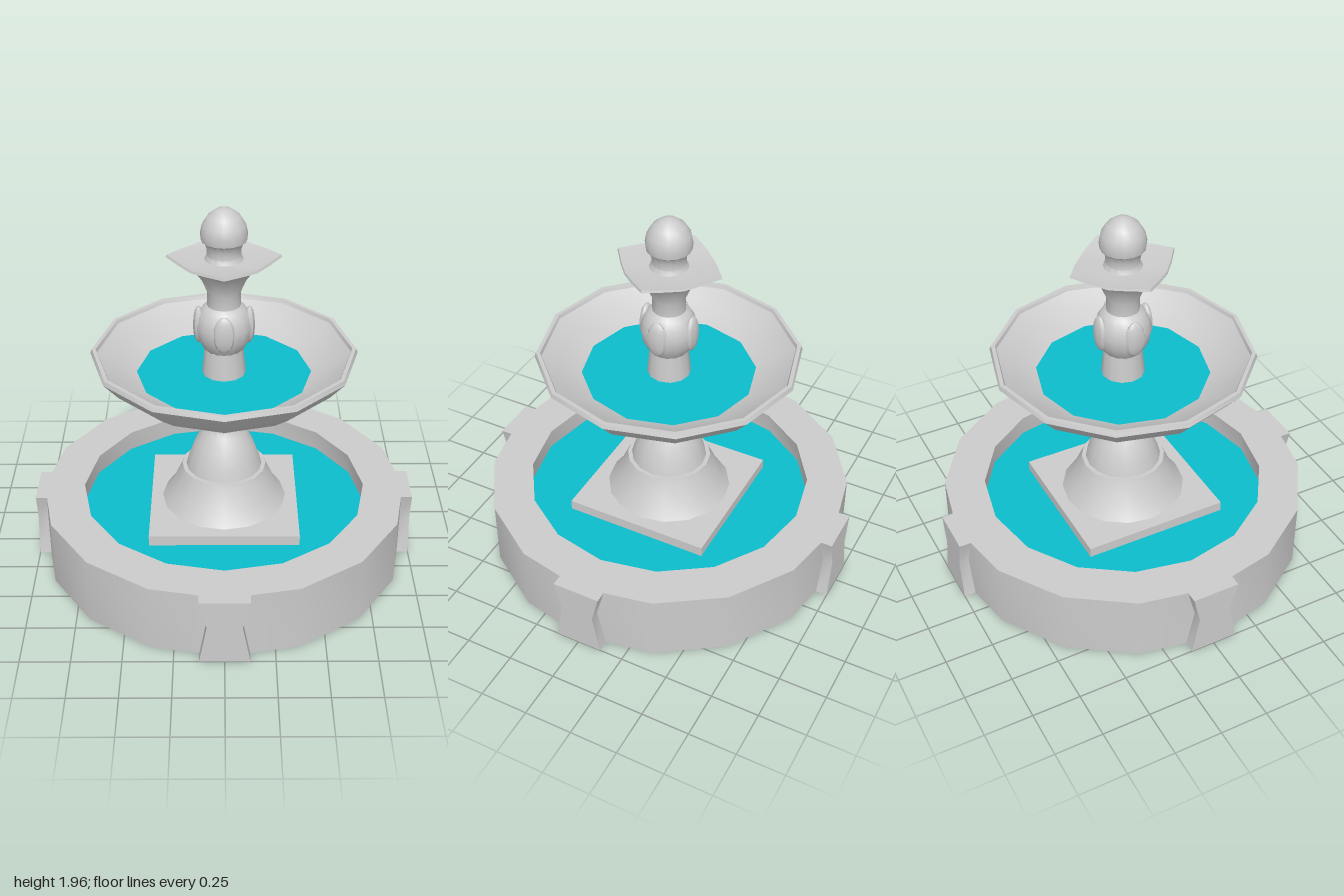
import * as THREE from 'three';
import { toCreasedNormals } from 'three/addons/utils/BufferGeometryUtils.js';

const stone = new THREE.MeshStandardMaterial({ color: 0xcccccc, side: THREE.DoubleSide });
const waterBlue = new THREE.MeshStandardMaterial({ color: 0x0cbccc, side: THREE.DoubleSide });

// Turned solid from [radius, height] pairs
function turned(profile, sides) {
  return new THREE.LatheGeometry(profile.map(([r, y]) => new THREE.Vector2(r, y)), sides);
}

export function createModel() {
  const model = new THREE.Group();
  model.name = 'fountain';

  function add(name, geometry, material = stone, parent = model) {
    const mesh = new THREE.Mesh(toCreasedNormals(geometry, 0.6), material);
    mesh.name = name;
    parent.add(mesh);
    return mesh;
  }

  function addWater(name, radius, sides, y) {
    const disc = new THREE.CircleGeometry(radius, sides).rotateX(-Math.PI / 2);
    add(name, disc, waterBlue).position.y = y;
  }

  // Pool: hollow wall, open underneath
  add('poolWall', turned([[0.965, 0], [0.965, 0.36], [0.75, 0.36], [0.76, 0.24]], 16));
  addWater('poolWater', 0.84, 16, 0.245);

  // Pool floor with a square opening under the plinth
  const half = 0.39;
  const floor = new THREE.Shape();
  for (let i = 0; i < 16; i++) {
    const a = (i / 16) * Math.PI * 2;
    if (i === 0) floor.moveTo(0.8, 0);
    else floor.lineTo(0.8 * Math.cos(a), 0.8 * Math.sin(a));
  }
  floor.closePath();
  floor.holes.push(new THREE.Path([[-1, -1], [-1, 1], [1, 1], [1, -1]]
    .map(([x, y]) => new THREE.Vector2(x * half, y * half))));
  add('poolFloor', new THREE.ShapeGeometry(floor).rotateX(Math.PI / 2)).position.y = 0.2;

  // Four waisted blocks on the pool wall
  const block = new THREE.Shape([[-0.125, 0], [0.125, 0], [0.087, 0.21], [0.125, 0.36], [-0.125, 0.36], [-0.087, 0.21]]
    .map(([x, y]) => new THREE.Vector2(x, y)));
  const blockGeometry = new THREE.ExtrudeGeometry(block, { depth: 0.06, bevelEnabled: false });
  blockGeometry.translate(0, 0, 0.94);

  // Square plinth, open underneath
  add('plinth', turned([[half * Math.SQRT2, 0.2], [half * Math.SQRT2, 0.3], [0, 0.3]], 4).rotateY(Math.PI / 4));

  // Pedestal with a ledge
  add('pedestal', turned([[0.33, 0.3], [0.283, 0.365], [0.228, 0.485], [0.222, 0.503], [0.2, 0.503],
    [0.185, 0.56], [0.155, 0.64], [0.115, 0.71], [0.095, 0.74], [0.093, 0.82]], 16));

  // Wide bowl
  add('bowl', turned([[0, 0.805], [0.1, 0.805], [0.28, 0.885], [0.49, 0.99], [0.6, 1.075], [0.68, 1.168], [0.672, 1.19],
    [0.652, 1.19], [0.645, 1.172], [0.56, 1.115], [0.445, 1.055], [0.28, 1.0], [0, 0.97]], 12));
  addWater('bowlWater', 0.447, 12, 1.06);

  // Column and ball
  add('column', turned([[0.118, 0.98], [0.11, 1.08], [0.098, 1.21]], 12));
  add('ball', turned([[0.09, 1.19], [0.112, 1.22], [0.137, 1.27], [0.145, 1.33], [0.132, 1.385],
    [0.108, 1.425], [0.085, 1.442]], 16));
  const petal = new THREE.SphereGeometry(1, 10, 8).scale(0.055, 0.1, 0.03).translate(0, 1.33, 0.127);

  for (let i = 0; i < 4; i++) {
    const side = new THREE.Group();
    side.name = 'side' + (i + 1);
    side.rotation.y = (i * Math.PI) / 2;
    add('wallBlock', blockGeometry, stone, side);
    add('ballPetal', petal, stone, side);
    model.add(side);
  }

  // Flared top: round neck widening to a four-cornered dish with raised corners
  const dish = turned([[0.085, 1.44], [0.083, 1.51], [0.118, 1.59], [0.17, 1.645], [0.255, 1.68], [0.285, 1.69],
    [0.28, 1.702], [0.26, 1.698], [0.11, 1.69], [0, 1.69]], 16);
  const outline = [1, 0.83, 0.79, 0.83];
  const p = dish.attributes.position;
  for (let i = 0; i < p.count; i++) {
    const x = p.getX(i), z = p.getZ(i);
    const t = THREE.MathUtils.smoothstep(Math.hypot(x, z), 0.09, 0.24);
    const step = Math.round(Math.atan2(x, z) / (Math.PI / 8)) + 16;
    const k = 1 + (outline[step % 4] - 1) * t;
    const lift = t * 0.008 * Math.cos((step * Math.PI) / 2);
    p.setXYZ(i, x * k, p.getY(i) + lift, z * k);
  }
  add('topDish', dish);

  // Finial
  add('finial', turned([[0.1, 1.685], [0.086, 1.71], [0.086, 1.745], [0.1, 1.78], [0.113, 1.79], [0.117, 1.825],
    [0.108, 1.87], [0.08, 1.915], [0.04, 1.945], [0, 1.957]], 16));

  return model;
}
